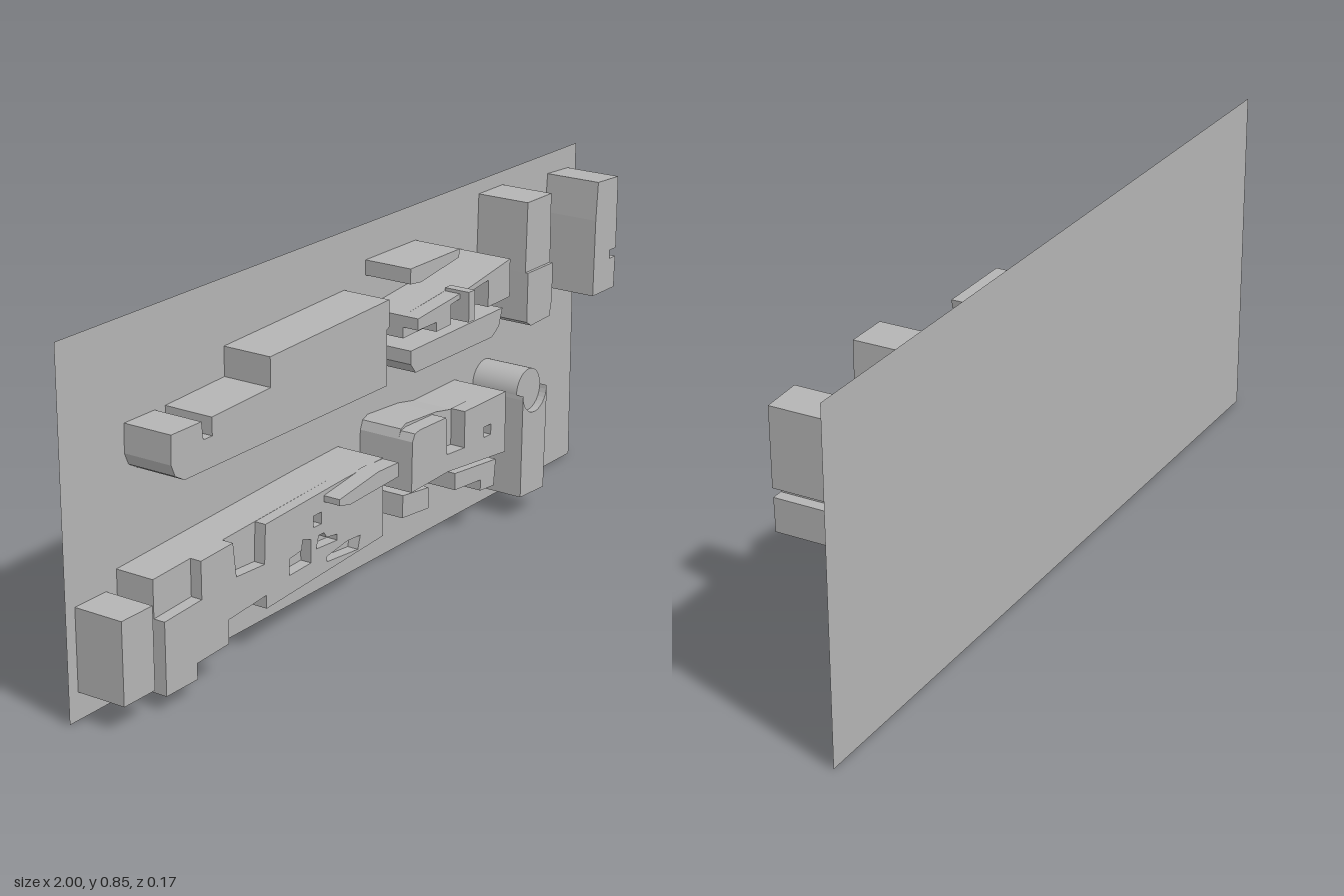
import * as THREE from 'three';

const BACK = -0.085; // plane of the backing sheet

export function createModel() {
  const model = new THREE.Group();
  const grey = new THREE.MeshStandardMaterial({ color: 0xb4b4b4 });
  const greySheet = new THREE.MeshStandardMaterial({ color: 0xb4b4b4, side: THREE.DoubleSide });
  greySheet.name = 'greySheet';
  grey.name = 'grey';

  const toVectors = (pts) => pts.map(([x, y]) => new THREE.Vector2(x, y));
  const rect = (x0, y0, x1, y1) => [[x0, y0], [x1, y0], [x1, y1], [x0, y1]];

  // Extrudes an outline between two depths, with optional holes
  function slab(name, outline, z0, z1, holes = []) {
    const shape = new THREE.Shape(toVectors(outline));
    for (const h of holes) shape.holes.push(new THREE.Path(toVectors(h)));
    const geo = new THREE.ExtrudeGeometry(shape, { depth: z1 - z0, bevelEnabled: false });
    geo.translate(0, 0, z0);
    const mesh = new THREE.Mesh(geo, grey);
    mesh.name = name;
    model.add(mesh);
    return mesh;
  }

  // Backing sheet
  const sheet = new THREE.Mesh(new THREE.PlaneGeometry(2, 0.85), greySheet);
  sheet.position.set(0, 0.425, BACK);
  sheet.name = 'backingSheet';
  model.add(sheet);

  // Small end block
  slab('endBlock', rect(-0.97, 0.065, -0.87, 0.26), BACK, 0.042);

  // Long lower body: solid core, then a front layer with notches and pockets
  const underside = [
    [-0.04, 0.14], [-0.485, 0.115], [-0.485, 0.147], [-0.62, 0.137],
    [-0.62, 0.08], [-0.73, 0.075], [-0.73, 0.037], [-0.835, 0.037],
  ];
  slab('longBodyCore', [[-0.835, 0.3], [-0.2, 0.33], [-0.04, 0.335], ...underside], BACK, 0.015);
  slab('longBodyFront', [
    [-0.835, 0.21], [-0.71, 0.217], [-0.71, 0.306], [-0.6, 0.311], [-0.59, 0.228],
    [-0.49, 0.223], [-0.485, 0.316], [-0.2, 0.33], [-0.04, 0.335], ...underside,
  ], 0.015, 0.044, [
    [[-0.4, 0.165], [-0.32, 0.168], [-0.32, 0.225], [-0.35, 0.235], [-0.355, 0.21], [-0.4, 0.205]],
    rect(-0.31, 0.25, -0.28, 0.278),
    [[-0.3, 0.195], [-0.22, 0.19], [-0.22, 0.205], [-0.26, 0.21], [-0.27, 0.225], [-0.29, 0.225]],
    [[-0.26, 0.15], [-0.14, 0.14], [-0.13, 0.172], [-0.18, 0.175], [-0.26, 0.163]],
  ]);
  slab('longBodyRidge', [
    [-0.27, 0.3], [-0.23, 0.29], [-0.04, 0.298], [-0.04, 0.333], [-0.12, 0.335], [-0.27, 0.315],
  ], 0.04, 0.088);

  // Stepped upper cover
  slab('upperCover', [
    [-0.795, 0.617], [-0.695, 0.617], [-0.69, 0.575], [-0.66, 0.575], [-0.66, 0.617],
    [-0.457, 0.625], [-0.457, 0.695], [-0.012, 0.71], [-0.012, 0.645], [-0.022, 0.64],
    [-0.022, 0.505], [-0.755, 0.505], [-0.785, 0.522], [-0.797, 0.55],
  ], BACK, 0.042);

  // Thin wedge
  slab('wedge', [
    [0.073, 0.762], [0.275, 0.762], [0.272, 0.742], [0.115, 0.72], [0.073, 0.725],
  ], BACK, 0.042);

  // Sloped body with a central recess and a proud rib
  slab('slopedBodyCore', [
    [0.075, 0.645], [0.275, 0.665], [0.465, 0.695], [0.465, 0.6], [0.075, 0.59],
  ], BACK, 0.02);
  slab('slopedBodyLeft', [
    [0.075, 0.645], [0.21, 0.658], [0.21, 0.596], [0.15, 0.594], [0.15, 0.617], [0.075, 0.617],
  ], 0.02, 0.062);
  slab('slopedBodyTop', [[0.21, 0.658], [0.275, 0.665], [0.37, 0.68], [0.37, 0.665], [0.21, 0.645]], 0.02, 0.062);
  slab('slopedBodyRight', [[0.37, 0.68], [0.465, 0.695], [0.465, 0.6], [0.37, 0.598]], 0.02, 0.062);
  slab('rib', rect(0.247, 0.596, 0.272, 0.67), 0.02, 0.088);

  // Lower keel of the sloped body
  slab('keel', [
    [0.075, 0.563], [0.465, 0.568], [0.45, 0.525], [0.42, 0.505], [0.095, 0.505], [0.075, 0.53],
  ], BACK, 0.042);

  // Tall block: two depths and a small flange at its foot
  slab('tallBlockUpper', [[0.548, 0.815], [0.655, 0.815], [0.655, 0.64], [0.542, 0.64]], BACK, 0.057);
  slab('tallBlockLower', [
    [0.542, 0.64], [0.655, 0.64], [0.655, 0.55], [0.645, 0.505], [0.56, 0.502], [0.54, 0.515],
  ], BACK, 0.065);
  slab('footFlange', [
    [0.56, 0.493], [0.635, 0.493], [0.665, 0.525], [0.665, 0.565], [0.6, 0.565],
  ], BACK, -0.06);

  // Notched right block
  slab('notchedBlock', [
    [0.865, 0.798], [0.962, 0.793], [0.96, 0.606], [0.93, 0.606], [0.93, 0.584],
    [0.958, 0.584], [0.955, 0.503], [0.852, 0.503], [0.857, 0.7],
  ], BACK, 0.065);

  // Lower middle housing: core, then front layer with a slot and a pocket
  const housingBase = [[0.45, 0.362], [0.45, 0.205], [0.2, 0.23], [0.047, 0.225], [0.05, 0.35]];
  slab('housingCore', [
    [0.06, 0.372], [0.08, 0.38], [0.205, 0.372], [0.27, 0.36], ...housingBase,
  ], BACK, 0.025);
  slab('housingFront', [
    [0.06, 0.368], [0.08, 0.372], [0.19, 0.37], [0.195, 0.275], [0.27, 0.27], [0.27, 0.362], ...housingBase,
  ], 0.025, 0.065, [rect(0.355, 0.27, 0.385, 0.297)]);

  // Feet of the housing
  slab('housingFootLeft', [[0.045, 0.213], [0.152, 0.2], [0.152, 0.147], [0.042, 0.157]], BACK, 0.042);
  slab('housingFootRight', [
    [0.265, 0.2], [0.445, 0.182], [0.437, 0.115], [0.377, 0.12], [0.377, 0.148], [0.265, 0.157],
  ], BACK, 0.042);

  // Post with a scooped top holding a round pin
  const cx = 0.585, cy = 0.325, r = 0.054;
  const scoop = [];
  for (let i = 0; i <= 16; i++) {
    const a = Math.PI + (Math.PI * i) / 16;
    scoop.push([cx + r * Math.cos(a), cy + r * Math.sin(a)]);
  }
  slab('post', [[0.525, 0.06], [0.632, 0.055], [0.64, 0.315], ...scoop.reverse(), [0.53, 0.315]], BACK, 0.065);
  const pinLength = 0.045 - BACK;
  const pin = new THREE.Mesh(new THREE.CylinderGeometry(r, r, pinLength, 40), grey);
  pin.rotation.x = Math.PI / 2;
  pin.position.set(cx, cy, BACK + pinLength / 2);
  pin.name = 'roundPin';
  model.add(pin);

  return model;
}
